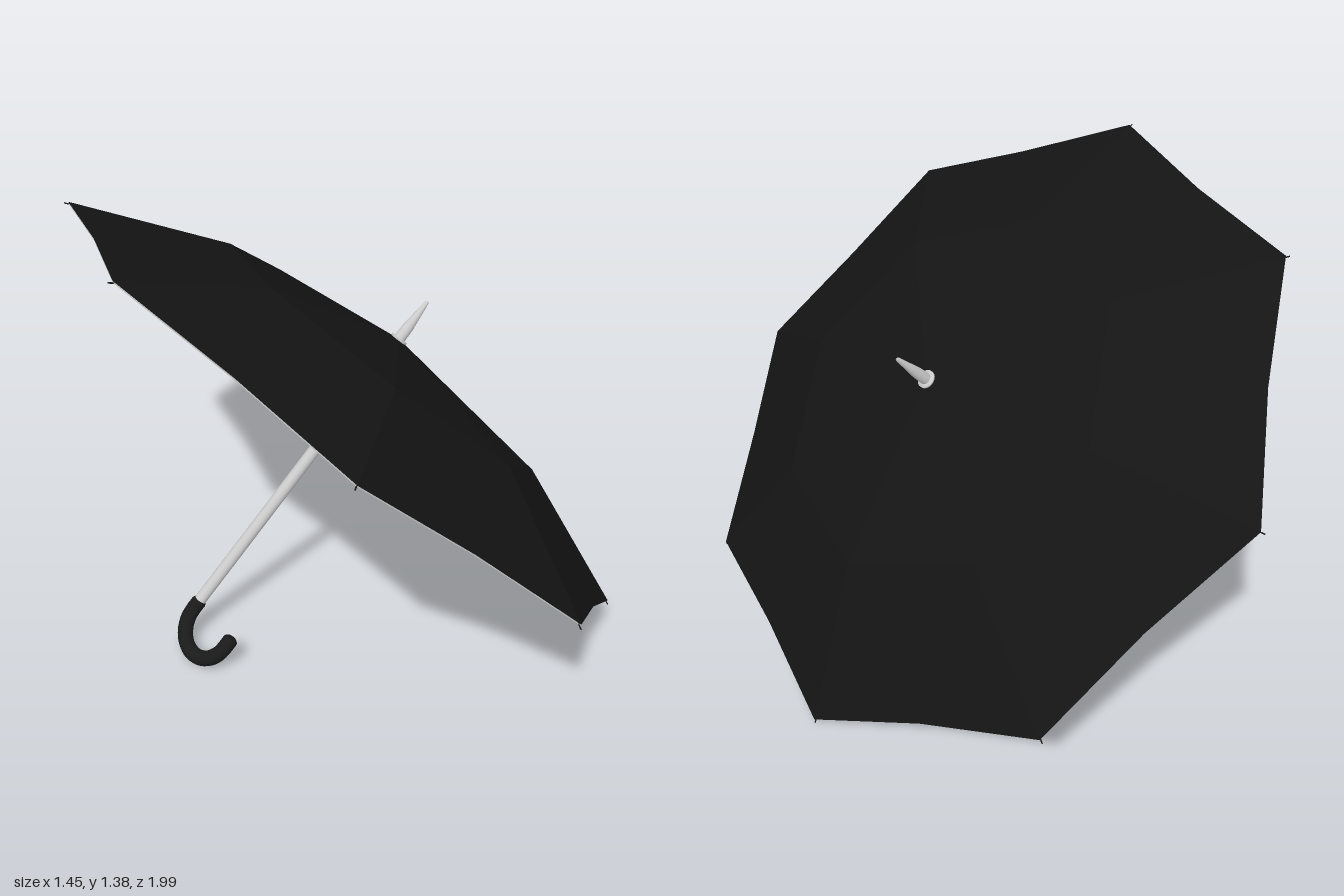
import * as THREE from 'three';

const RIBS = 8, APEX = 0.265, MID_R = 0.58, MID_H = 0.189, RIM_R = 1.037, SAG = 0.014;

const mat = (color, extra = {}) => new THREE.MeshStandardMaterial({ color, ...extra });

// point at angle a, radius r, height h around the shaft
const polar = (a, r, h) => new THREE.Vector3(Math.cos(a) * r, h, Math.sin(a) * r);

function add(parent, name, geometry, material) {
  const mesh = new THREE.Mesh(geometry, material);
  mesh.name = name;
  parent.add(mesh);
  return mesh;
}

// thin round bar between two points
function rod(parent, name, a, b, r, material) {
  const mesh = add(parent, name, new THREE.CylinderGeometry(r, r, a.distanceTo(b), 6), material);
  mesh.position.copy(a).add(b).multiplyScalar(0.5);
  mesh.quaternion.setFromUnitVectors(new THREE.Vector3(0, 1, 0), b.clone().sub(a).normalize());
}

// eight faceted panels, each rim edge drawn in at its middle; inset lowers the layer
function canopyGeometry(inset) {
  const pos = [];
  const tri = (...corners) => corners.forEach(p => pos.push(p.x, p.y - inset, p.z));
  const apex = new THREE.Vector3(0, APEX, 0), rim = RIM_R - inset;
  for (let i = 0; i < RIBS; i++) {
    const a0 = i * Math.PI * 2 / RIBS, a1 = (i + 1) * Math.PI * 2 / RIBS;
    const m0 = polar(a0, MID_R, MID_H), m1 = polar(a1, MID_R, MID_H);
    const r0 = polar(a0, rim, 0), r1 = polar(a1, rim, 0);
    const dip = r0.clone().lerp(r1, 0.5).add(polar((a0 + a1) / 2, -SAG, SAG * 0.42));
    tri(apex, m1, m0);
    tri(m0, m1, dip);
    tri(m0, dip, r0);
    tri(m1, r1, dip);
  }
  const g = new THREE.BufferGeometry();
  g.setAttribute('position', new THREE.Float32BufferAttribute(pos, 3));
  g.computeVertexNormals();
  return g;
}

export function createModel() {
  const model = new THREE.Group();
  model.name = 'umbrella';
  const body = new THREE.Group();
  body.name = 'tiltedUmbrella';
  model.add(body);

  const black = mat(0x1a1a1a), metal = mat(0xcccccc);
  const fabric = color => mat(color, { flatShading: true, side: THREE.DoubleSide });

  // fabric: dark outside, grey lining just beneath it
  add(body, 'canopyOutside', canopyGeometry(0), fabric(0x141414));
  add(body, 'canopyLining', canopyGeometry(0.004), fabric(0xbbbbbb));

  // ribs under the ridges and stretchers up from the runner
  for (let i = 0; i < RIBS; i++) {
    const a = i * Math.PI * 2 / RIBS;
    const knee = polar(a, MID_R - 0.003, MID_H - 0.008);
    rod(body, 'innerRib', polar(a, 0.015, APEX - 0.01), knee, 0.002, black);
    rod(body, 'outerRib', knee, polar(a, RIM_R + 0.008, -0.01), 0.002, black);
    rod(body, 'stretcher', polar(a, 0.022, 0.03), polar(a, 0.5, 0.19), 0.002, black);
  }

  // shaft, sliding runner and pointed ferrule with its collar
  const shaft = add(body, 'shaft', new THREE.CylinderGeometry(0.019, 0.019, 1.06, 20), metal);
  shaft.position.y = -0.265;
  const lathe = (name, pts, material) => add(body, name,
    new THREE.LatheGeometry(pts.map(p => new THREE.Vector2(...p)), 20), material);
  lathe('runner', [[0.018, -0.085], [0.027, -0.083], [0.027, -0.01], [0.03, 0.0],
    [0.03, 0.04], [0.018, 0.043]], black);
  lathe('ferruleCollar', [[0.018, 0.256], [0.028, 0.258], [0.028, 0.268], [0.014, 0.269]], metal);
  lathe('ferrule', [[0.018, 0.262], [0.017, 0.31], [0.006, 0.405], [0, 0.41]], metal);

  // hooked handle
  const R = 0.094, base = -0.803, tube = 0.024, path = [new THREE.Vector3(0, -0.774, 0)];
  for (let i = 0; i <= 12; i++) {
    const t = Math.PI * i / 12;
    path.push(new THREE.Vector3(0, base - Math.sin(t) * R, R - Math.cos(t) * R));
  }
  path.push(new THREE.Vector3(0, -0.775, R * 2));
  add(body, 'hookHandle',
    new THREE.TubeGeometry(new THREE.CatmullRomCurve3(path), 48, tube, 16), black);
  const cap = add(body, 'handleTip', new THREE.SphereGeometry(tube, 16, 10), black);
  cap.scale.y = 0.6;
  cap.position.copy(path[path.length - 1]);
  const collar = add(body, 'handleCollar', new THREE.CylinderGeometry(0.021, tube, 0.008, 16), black);
  collar.position.y = -0.77;

  // lean the whole umbrella over so it rests on its rim and handle
  const up = new THREE.Vector3(0.668, 0.74, -0.075).normalize();
  const side = new THREE.Vector3(0.718, -0.682, -0.308);
  side.addScaledVector(up, -side.dot(up)).normalize();
  const ahead = side.clone().cross(up);
  body.quaternion.setFromRotationMatrix(new THREE.Matrix4().makeBasis(side, up, ahead));
  body.position.set(0.004, 0.704, 0);
  return model;
}
